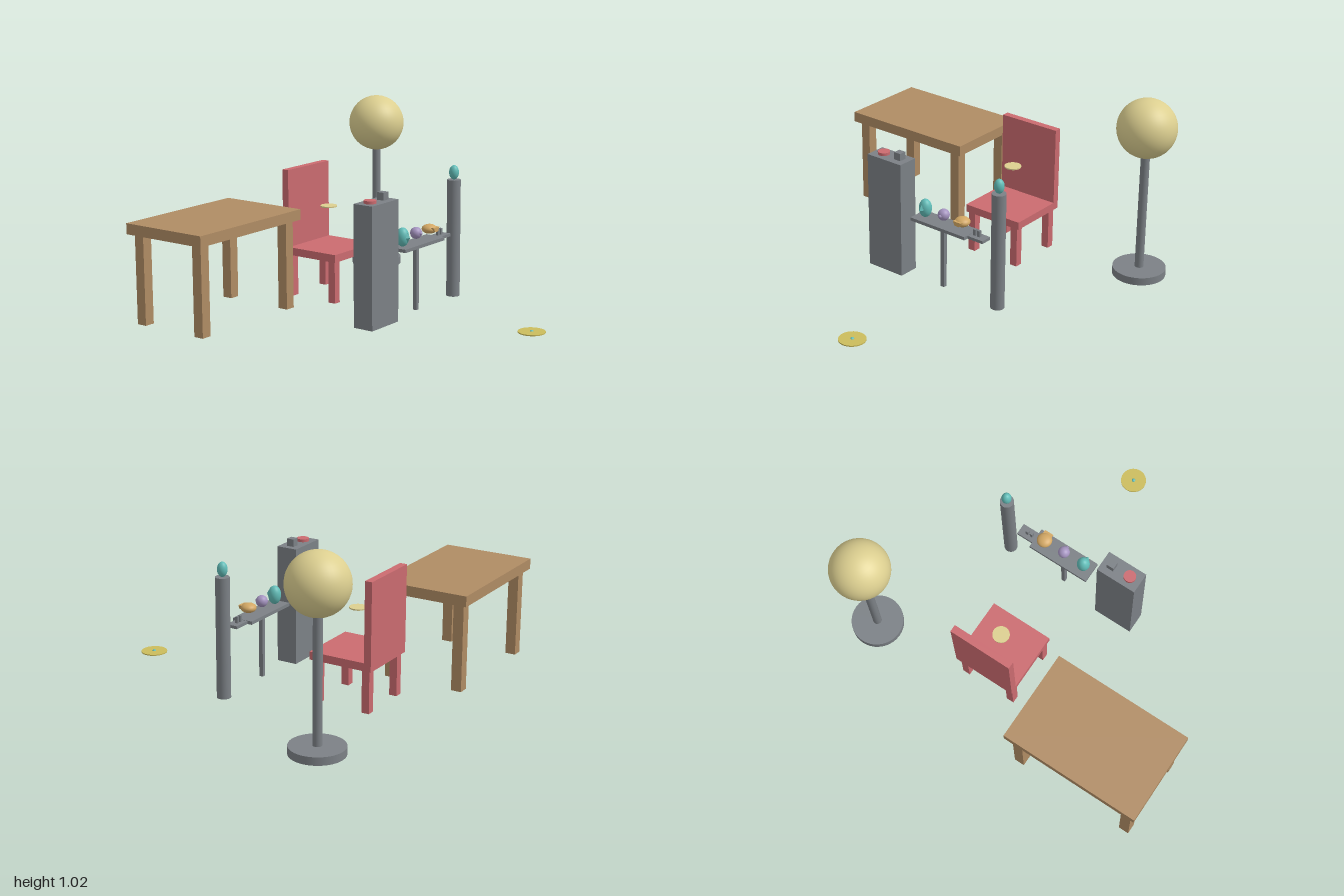
import * as THREE from 'three';

const mat = (name, color) => {
  const m = new THREE.MeshStandardMaterial({ color });
  m.name = name;
  return m;
};

export function createModel() {
  const wood = mat('wood', 0xb08c64);
  const red = mat('red', 0xcb6b70);
  const grey = mat('grey', 0x7c8186);
  const cream = mat('cream', 0xdccf90);
  const yellow = mat('yellow', 0xcbbc5c);
  const teal = mat('teal', 0x62bdb8);
  const lavender = mat('lavender', 0xa594c0);
  const gold = mat('gold', 0xd2a764);

  const model = new THREE.Group();
  const group = (name) => {
    const g = new THREE.Group();
    g.name = name;
    model.add(g);
    return g;
  };
  const add = (parent, name, geo, material, x, y, z) => {
    const m = new THREE.Mesh(geo, material);
    m.name = name;
    m.position.set(x, y, z);
    parent.add(m);
    return m;
  };
  // Box and cylinder given by their bottom and top heights
  const box = (p, name, m, x, z, w, d, y0, y1) =>
    add(p, name, new THREE.BoxGeometry(w, y1 - y0, d), m, x, (y0 + y1) / 2, z);
  const cyl = (p, name, m, x, z, r, y0, y1) =>
    add(p, name, new THREE.CylinderGeometry(r, r, y1 - y0, 40), m, x, (y0 + y1) / 2, z);
  const ball = (p, name, m, x, y, z, rx, ry = rx, rz = rx) =>
    add(p, name, new THREE.SphereGeometry(1, 40, 24).scale(rx, ry, rz), m, x, y, z);
  const legs = (p, name, m, x, z, dx, dz, size, y1) => {
    for (const sx of [-1, 1]) for (const sz of [-1, 1])
      box(p, name, m, x + sx * dx, z + sz * dz, size, size, 0.012, y1);
  };

  // Desk
  const desk = group('desk');
  box(desk, 'deskTop', wood, -0.605, -0.665, 0.79, 0.51, 0.495, 0.553);
  legs(desk, 'deskLeg', wood, -0.605, -0.665, 0.335, 0.198, 0.058, 0.495);

  // Chair with a thin disc hovering above the seat
  const chair = group('chair');
  box(chair, 'seat', red, 0.115, -0.47, 0.36, 0.36, 0.245, 0.288);
  box(chair, 'backrest', red, 0.115, -0.63, 0.36, 0.04, 0.288, 0.72);
  legs(chair, 'chairLeg', red, 0.112, -0.467, 0.145, 0.145, 0.043, 0.245);
  cyl(chair, 'hoveringDisc', cream, 0.115, -0.47, 0.046, 0.504, 0.511);

  // Globe lamp
  const lamp = group('lamp');
  cyl(lamp, 'lampBase', grey, 0.833, -0.667, 0.144, 0.012, 0.055);
  cyl(lamp, 'lampPole', grey, 0.833, -0.667, 0.024, 0.055, 0.72);
  ball(lamp, 'globe', cream, 0.833, 0.863, -0.667, 0.16);

  // Cabinet with a button and a switch
  const cabinet = group('cabinet');
  box(cabinet, 'cabinetBody', grey, -0.249, 0.12, 0.23, 0.118, 0.012, 0.667);
  cyl(cabinet, 'button', red, -0.3, 0.12, 0.033, 0.667, 0.683);
  box(cabinet, 'switch', grey, -0.19, 0.119, 0.042, 0.042, 0.667, 0.708);

  // Round pillar with an egg on top
  const pillar = group('pillar');
  cyl(pillar, 'pillarBody', grey, 0.474, 0.12, 0.0375, 0.012, 0.667);
  ball(pillar, 'pillarEgg', teal, 0.474, 0.707, 0.12, 0.027, 0.04, 0.027);

  // Tray stand with a side bracket
  const tray = group('trayStand');
  box(tray, 'trayTop', grey, 0.115, 0.12, 0.365, 0.118, 0.367, 0.385);
  box(tray, 'trayPost', grey, 0.112, 0.12, 0.023, 0.023, 0.012, 0.367);
  box(tray, 'bracket', grey, 0.346, 0.12, 0.1, 0.065, 0.367, 0.383);
  for (const x of [0.321, 0.348])
    box(tray, 'bracketPin', grey, x, 0.119, 0.016, 0.016, 0.353, 0.417);

  // Three trinkets on the tray, each with a detail on its front
  const trinkets = group('trinkets');
  ball(trinkets, 'egg', teal, -0.013, 0.436, 0.12, 0.035, 0.051, 0.035);
  add(trinkets, 'eggDiamond', new THREE.OctahedronGeometry(1).scale(0.017, 0.028, 0.017),
    teal, -0.013, 0.436, 0.152);
  ball(trinkets, 'orb', lavender, 0.112, 0.435, 0.12, 0.032);
  ball(trinkets, 'orbKnob', lavender, 0.112, 0.435, 0.149, 0.01);
  ball(trinkets, 'flatOrb', gold, 0.238, 0.434, 0.12, 0.042, 0.026, 0.042);
  const wedge = new THREE.Shape([[-0.027, 0.012], [-0.014, -0.012], [0.014, -0.012], [0.027, 0.012]]
    .map(([x, y]) => new THREE.Vector2(x, y)));
  add(trinkets, 'flatOrbWedge', new THREE.ExtrudeGeometry(wedge, { depth: 0.02, bevelEnabled: false }),
    gold, 0.238, 0.435, 0.147);

  // Floor disc with a small bead in its centre
  const floorDisc = group('floorDisc');
  cyl(floorDisc, 'disc', yellow, 0.113, 0.843, 0.072, 0.009, 0.015);
  ball(floorDisc, 'bead', teal, 0.113, 0.011, 0.843, 0.011);

  return model;
}
